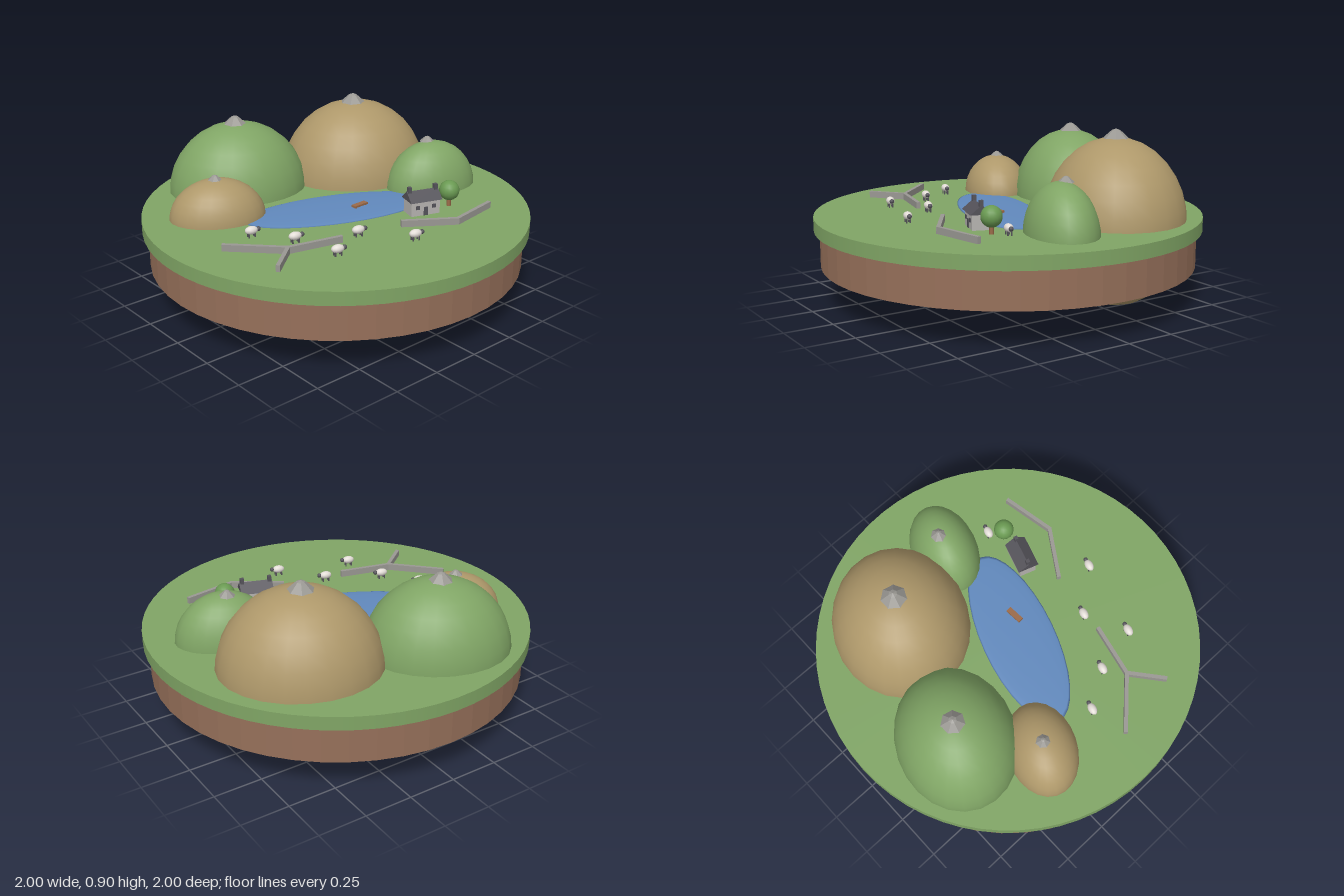
import * as THREE from 'three';

const mat = (name, color, extra = {}) => {
  const m = new THREE.MeshStandardMaterial({ color, ...extra });
  m.name = name;
  return m;
};

export function createModel() {
  const grass = mat('grass', 0x80a565);
  const foliage = mat('foliage', 0x6a9a52);
  const earth = mat('earth', 0x96705a, { flatShading: true });
  const heath = mat('heath', 0xae986a);
  const rock = mat('rock', 0x9a9893, { flatShading: true });
  const water = mat('water', 0x6189bd);
  const wood = mat('wood', 0x9a6a48);
  const wall = mat('whitewash', 0xb8b5b2);
  const slate = mat('slate', 0x55535a);
  const wool = mat('wool', 0xe2dcd6);

  const model = new THREE.Group();
  model.name = 'lakelandIsland';
  const GROUND = 0.455;

  const add = (parent, name, geometry, material, x = 0, y = 0, z = 0) => {
    const mesh = new THREE.Mesh(geometry, material);
    mesh.name = name;
    mesh.position.set(x, y, z);
    parent.add(mesh);
    return mesh;
  };
  const group = (name, x, z, turn) => {
    const g = new THREE.Group();
    g.name = name;
    g.position.set(x, GROUND, z);
    g.rotation.y = turn;
    model.add(g);
    return g;
  };
  const box = (w, h, d) => new THREE.BoxGeometry(w, h, d);

  // Round base: soil drum with a grass slab on top
  add(model, 'earthBase', new THREE.CylinderGeometry(0.97, 0.97, 0.19, 48), earth, 0, 0.29, 0);
  add(model, 'grassSlab', new THREE.CylinderGeometry(1, 1, 0.07, 64), grass, 0, 0.42, 0);

  // Hills: whole ellipsoids sunk through the base, each with a rocky summit
  // [x, y, z, half length, half height, half width, turn, material, summit radius]
  const hills = [
    [-0.22, 0.438, -0.56, 0.374, 0.38, 0.309, -0.4, grass, 0.066],
    [0.437, 0.432, -0.355, 0.409, 0.427, 0.36, -0.45, heath, 0.073],
    [-0.55, 0.445, -0.28, 0.247, 0.21, 0.18, -0.45, heath, 0.04],
    [0.6, 0.437, 0.093, 0.256, 0.263, 0.176, -0.31, grass, 0.042],
  ];
  const summit = new THREE.LatheGeometry(
    [[1, 0], [0.3, 0.85], [0, 1]].map(([r, y]) => new THREE.Vector2(r, y)), 7);
  const ball = new THREE.SphereGeometry(1, 24, 16);
  hills.forEach(([x, y, z, a, h, b, turn, material, r], i) => {
    const hill = add(model, `hill${i + 1}`, ball, material, x, y, z);
    hill.scale.set(a, h, b);
    hill.rotation.y = turn;
    const cap = add(model, `summit${i + 1}`, summit, rock, x - 0.005, y + h - r * 0.18, z - (i === 3 ? 0.027 : 0.005));
    cap.scale.set(r, r * 0.75, r);
  });

  // Lake: a very flat ellipsoid
  const lake = add(model, 'lake', new THREE.SphereGeometry(1, 32, 12), water, -0.032, GROUND, 0.043);
  lake.scale.set(0.498, 0.012, 0.192);
  lake.rotation.y = -0.337;

  // Small jetty on the lake
  const jetty = group('jetty', 0.067, 0.11, 0.05);
  add(jetty, 'deck', box(0.09, 0.01, 0.03), wood, 0, 0.02, 0);
  for (const x of [-0.035, 0.035]) add(jetty, 'jettyPost', box(0.01, 0.024, 0.024), wood, x, 0.01, 0);

  // Cottage: plain walls, gabled roof, two end chimneys
  const cottage = group('cottage', 0.275, 0.355, -0.32);
  add(cottage, 'walls', box(0.16, 0.08, 0.09), wall, 0, 0.04, 0);
  const gable = new THREE.Shape([[-0.057, 0], [0.057, 0], [0, 0.047]].map(p => new THREE.Vector2(...p)));
  const roof = new THREE.ExtrudeGeometry(gable, { depth: 0.176, bevelEnabled: false });
  roof.translate(0, 0, -0.088).rotateY(Math.PI / 2);
  add(cottage, 'roof', roof, slate, 0, 0.076, 0);
  for (const x of [-0.073, 0.073]) add(cottage, 'chimney', box(0.02, 0.05, 0.02), slate, x, 0.12, 0);
  add(cottage, 'door', box(0.022, 0.045, 0.006), slate, 0, 0.0225, 0.046);
  for (const x of [-0.045, 0.045]) add(cottage, 'window', box(0.02, 0.02, 0.006), slate, x, 0.045, 0.046);

  // Round tree beside the cottage
  const tree = group('tree', 0.445, 0.383, 0);
  add(tree, 'trunk', new THREE.CylinderGeometry(0.01, 0.012, 0.06, 8), wood, 0, 0.03, 0);
  add(tree, 'crown', new THREE.SphereGeometry(0.053, 16, 12), foliage, 0, 0.085, 0);

  // Dry-stone walls between ground points
  const stoneWall = (x1, z1, x2, z2) => {
    const length = Math.hypot(x2 - x1, z2 - z1) + 0.01;
    const w = add(model, 'stoneWall', box(length, 0.035, 0.02), rock, (x1 + x2) / 2, GROUND + 0.0165, (z1 + z2) / 2);
    w.rotation.y = -Math.atan2(z2 - z1, x2 - x1);
  };
  [
    [-0.775, 0.087, -0.56, 0.31],
    [-0.56, 0.31, -0.287, 0.375],
    [-0.56, 0.31, -0.717, 0.437],
    [0.065, 0.428, 0.3, 0.585],
    [0.3, 0.585, 0.58, 0.538],
  ].forEach(s => stoneWall(...s));

  // Grazing sheep
  const flock = [[-0.577, 0.045], [-0.458, 0.235], [-0.4, 0.48], [-0.178, 0.375], [0, 0.588], [0.507, 0.328]];
  const body = new THREE.SphereGeometry(1, 12, 8);
  for (const [x, z] of flock) {
    const sheep = group('sheep', x, z, -0.25);
    add(sheep, 'fleece', body, wool, 0, 0.035, 0).scale.set(0.034, 0.021, 0.022);
    add(sheep, 'head', body, slate, 0.036, 0.037, 0).scale.setScalar(0.012);
    for (const lx of [-0.016, 0.016])
      for (const lz of [-0.009, 0.009]) add(sheep, 'leg', box(0.006, 0.024, 0.006), slate, lx, 0.012, lz);
  }

  return model;
}
